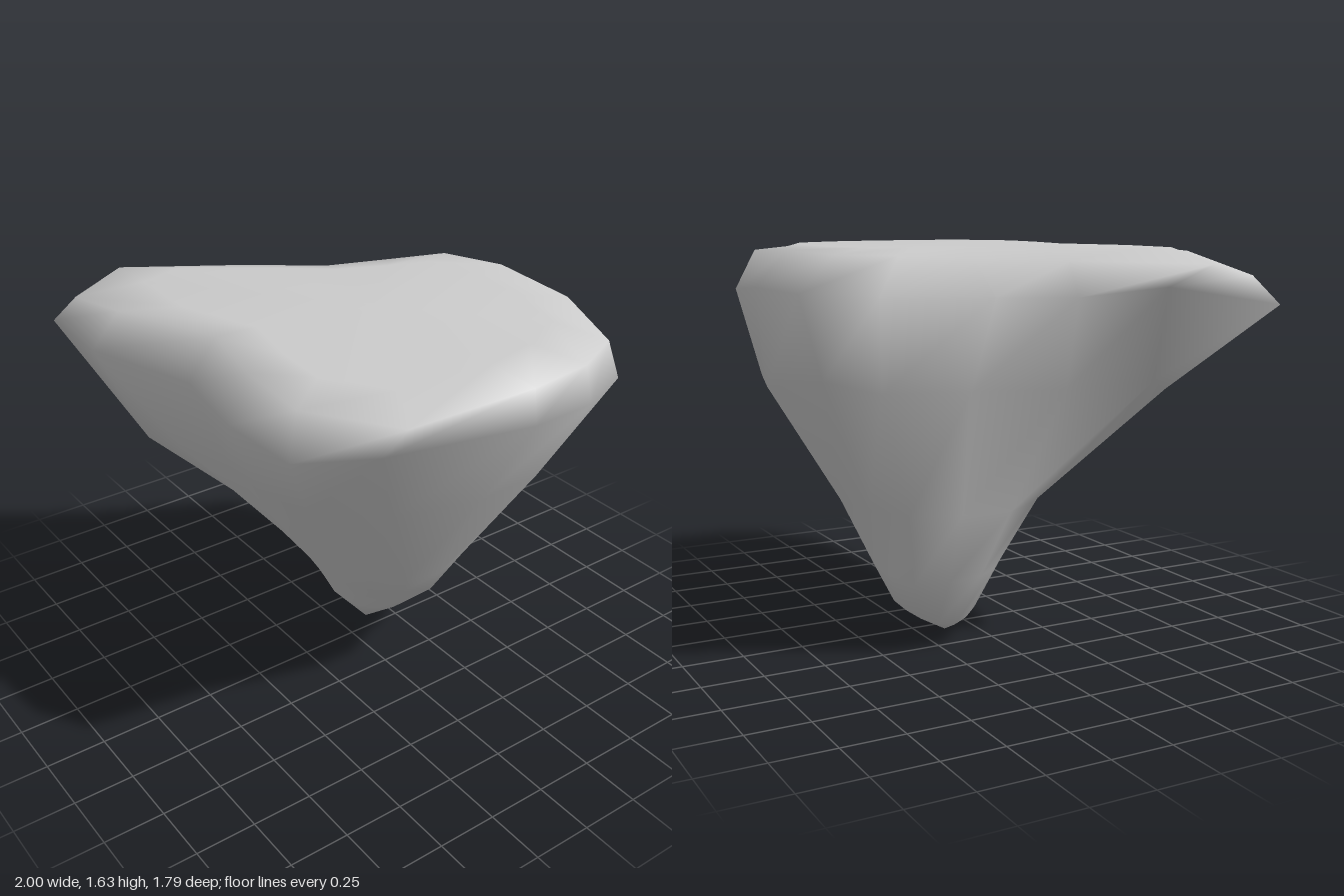
import * as THREE from 'three';

const SIDES = 16;

const toVectors = (points) => points.map((p) => new THREE.Vector3(...p));

// Eight compass points [x, y, z], smoothed into a closed ring
function section(points) {
  const curve = new THREE.CatmullRomCurve3(toVectors(points), true, 'catmullrom', 0.4);
  return Array.from({ length: SIDES }, (_, i) => curve.getPoint(i / SIDES));
}

// Skin a stack of rings from the lowest point up to the middle of the top
function skin(tip, rings, crown) {
  const vertices = [tip, ...rings.flat(), crown];
  const last = vertices.length - 1;
  const index = [];
  for (let i = 0; i < SIDES; i++) {
    const j = (i + 1) % SIDES;
    index.push(0, 1 + j, 1 + i);
    for (let r = 0; r < rings.length - 1; r++) {
      const a = 1 + r * SIDES, b = a + SIDES;
      index.push(a + i, a + j, b + j, a + i, b + j, b + i);
    }
    const t = 1 + (rings.length - 1) * SIDES;
    index.push(t + i, t + j, last);
  }
  const geometry = new THREE.BufferGeometry().setFromPoints(vertices);
  geometry.setIndex(index);
  geometry.computeVertexNormals();
  return geometry;
}

export function createModel() {
  const group = new THREE.Group();
  group.name = 'floatingRock';

  // Tapering underside, lowest section first
  const under = [
    section([[-0.19, 0.12, -0.05], [-0.08, 0.2, 0.04], [0.05, 0.18, 0.0], [0.14, 0.17, -0.13],
      [0.09, 0.17, -0.3], [-0.1, 0.17, -0.38], [-0.23, 0.12, -0.32], [-0.28, 0.09, -0.19]]),
    section([[-0.25, 0.33, 0.04], [-0.05, 0.36, 0.13], [0.22, 0.38, 0.06], [0.4, 0.42, -0.12],
      [0.2, 0.36, -0.32], [-0.05, 0.33, -0.45], [-0.34, 0.3, -0.4], [-0.43, 0.33, -0.15]]),
    section([[-0.24, 0.59, 0.24], [0.02, 0.6, 0.29], [0.41, 0.6, 0.2], [0.53, 0.6, -0.05],
      [0.37, 0.6, -0.39], [0.0, 0.6, -0.57], [-0.4, 0.6, -0.45], [-0.51, 0.6, -0.06]]),
  ];

  // Shoulder below the overhang
  const shoulder = toVectors([
    [-0.47, 1.03, 0.7], [-0.26, 1.05, 0.65], [0.0, 1.07, 0.59], [0.25, 1.08, 0.61],
    [0.48, 1.08, 0.55], [0.69, 1.08, 0.32], [0.81, 1.1, 0.0], [0.77, 1.08, -0.32],
    [0.64, 1.08, -0.56], [0.38, 1.08, -0.76], [0.03, 1.08, -0.86], [-0.36, 1.14, -0.78],
    [-0.51, 1.1, -0.61], [-0.59, 1.1, -0.28], [-0.65, 1.09, 0.1], [-0.66, 1.1, 0.5],
  ]);

  // Widest edge, with a prong at the front corner
  const rim = toVectors([
    [-0.99, 1.41, 0.84], [-0.51, 1.46, 0.89], [-0.07, 1.44, 0.71], [0.31, 1.44, 0.77],
    [0.66, 1.43, 0.74], [0.94, 1.52, 0.56], [1.0, 1.47, -0.07], [0.95, 1.44, -0.39],
    [0.81, 1.41, -0.68], [0.45, 1.44, -0.84], [0.02, 1.47, -0.9], [-0.28, 1.46, -0.84],
    [-0.43, 1.45, -0.58], [-0.63, 1.45, -0.2], [-0.79, 1.45, 0.06], [-0.97, 1.49, 0.33],
  ]);

  // Edge of the flat top, dipping at the prong and along the back right
  const edge = toVectors([
    [-0.92, 1.52, 0.76], [-0.5, 1.6, 0.77], [-0.04, 1.61, 0.6], [0.3, 1.61, 0.67],
    [0.62, 1.6, 0.68], [0.95, 1.6, 0.46], [0.98, 1.61, -0.07], [0.92, 1.59, -0.38],
    [0.77, 1.56, -0.65], [0.43, 1.6, -0.76], [0.02, 1.61, -0.77], [-0.25, 1.6, -0.68],
    [-0.34, 1.595, -0.46], [-0.46, 1.585, -0.2], [-0.69, 1.58, 0.08], [-1.0, 1.57, 0.51],
  ]);

  const crown = new THREE.Vector3(0.1, 1.63, -0.03);
  const plateau = edge.map((p) => p.clone().lerp(crown, 0.25).setY(1.622));

  const rock = new THREE.Mesh(
    skin(new THREE.Vector3(-0.07, 0, -0.13), [...under, shoulder, rim, edge, plateau], crown),
    new THREE.MeshStandardMaterial({ color: 0xcccccc }));
  rock.name = 'rock';
  group.add(rock);
  return group;
}
